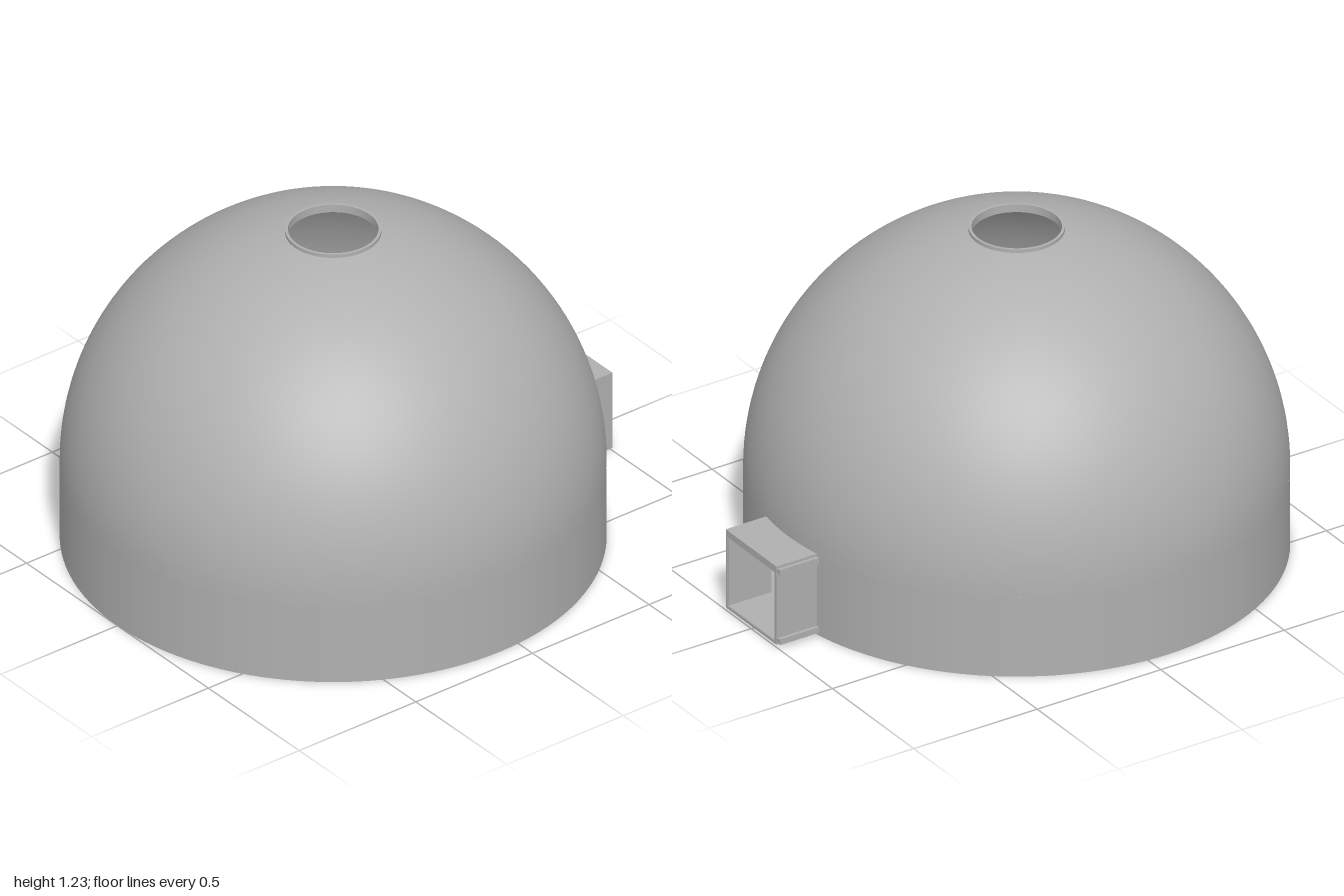
import * as THREE from 'three';

export function createModel() {
  const model = new THREE.Group();
  const grey = new THREE.MeshStandardMaterial({ color: 0xb0b0b0 });
  grey.name = 'grey';

  const CX = -0.075;            // dome axis
  const R = 0.925, RI = 0.91;   // outer and inner radius
  const FLOOR = 0.015, SPRING = 0.305;
  const HOLE = 0.155;           // skylight radius
  const GAP = 0.163;            // half angle of the doorway in the wall

  const add = (name, geometry, x = 0, y = 0, z = 0) => {
    const mesh = new THREE.Mesh(geometry, grey);
    mesh.name = name;
    mesh.position.set(x, y, z);
    model.add(mesh);
    return mesh;
  };
  const lathe = (name, pts, start = 0, length = Math.PI * 2) =>
    add(name, new THREE.LatheGeometry(pts.map(p => new THREE.Vector2(...p)), 128, start, length), CX);
  const box = (name, x0, x1, y0, y1, z0, z1) =>
    add(name, new THREE.BoxGeometry(x1 - x0, y1 - y0, z1 - z0), (x0 + x1) / 2, (y0 + y1) / 2, (z0 + z1) / 2);

  // Floor slab
  add('floor', new THREE.CylinderGeometry(R, R, FLOOR, 128), CX, FLOOR / 2);

  // Upright wall, inside and out, open at the doorway
  const start = Math.PI / 2 + GAP, length = Math.PI * 2 - 2 * GAP;
  lathe('outerWall', [[R, FLOOR], [R, SPRING]], start, length);
  lathe('innerWall', [[RI, SPRING], [RI, FLOOR]], start, length);

  // Dome shells, stopping at the skylight
  const arc = (r) => {
    const end = Math.acos(HOLE / r), pts = [];
    for (let i = 0; i <= 40; i++) {
      const a = end * i / 40;
      pts.push([r * Math.cos(a), SPRING + r * Math.sin(a)]);
    }
    return pts;
  };
  lathe('outerDome', arc(R));
  lathe('innerDome', arc(RI).reverse());
  lathe('domeSpringing', [[RI, SPRING], [R, SPRING]]);

  // Skylight rim, one lathe per face to keep its edges sharp
  const rim = [[0.153, 1.198], [0.163, 1.2], [0.163, 1.228], [0.153, 1.228], [0.153, 1.198]];
  for (let i = 0; i < 4; i++) lathe('skylightRim', [rim[i], rim[i + 1]]);

  // Entrance tunnel: a rectangular tube along x
  const rect = (S, w, y0, y1) => {
    const s = new S();
    s.moveTo(-w, y0); s.lineTo(w, y0); s.lineTo(w, y1); s.lineTo(-w, y1); s.closePath();
    return s;
  };
  const section = rect(THREE.Shape, 0.156, 0.01, 0.312);
  section.holes.push(rect(THREE.Path, 0.142, 0.022, 0.283));
  const tunnel = new THREE.ExtrudeGeometry(section, { depth: 0.172, bevelEnabled: false });
  tunnel.rotateY(Math.PI / 2);
  add('entranceTunnel', tunnel, 0.825);

  // Door rails along the back side of the tunnel
  for (const [y0, y1] of [[0.02, 0.034], [0.286, 0.302]]) {
    box('doorRail', 0.84, 0.997, y0, y1, -0.166, -0.155);
    box('doorRailLip', 0.84, 0.997, y0 - 0.004, y1 + 0.004, -0.174, -0.166);
  }
  // Raised border round the tunnel mouth
  for (const s of [-1, 1]) box('mouthBorder', 0.997, 1, 0.01, 0.312, s * 0.15 - 0.006, s * 0.15 + 0.006);
  box('mouthBorder', 0.997, 1, 0.29, 0.312, -0.144, 0.144);
  box('mouthBorder', 0.997, 1, 0.01, 0.021, -0.144, 0.144);

  // Central stand with crossed panels
  add('standBase', new THREE.CylinderGeometry(0.033, 0.033, 0.01, 32), CX, FLOOR + 0.005);
  add('standPole', new THREE.CylinderGeometry(0.003, 0.003, 0.27, 12), CX, FLOOR + 0.135);
  box('standPanel', CX - 0.002, CX + 0.002, 0.13, 0.21, -0.063, 0.063);
  box('standCrossPanel', CX - 0.082, CX + 0.082, 0.13, 0.21, -0.002, 0.002);

  return model;
}
